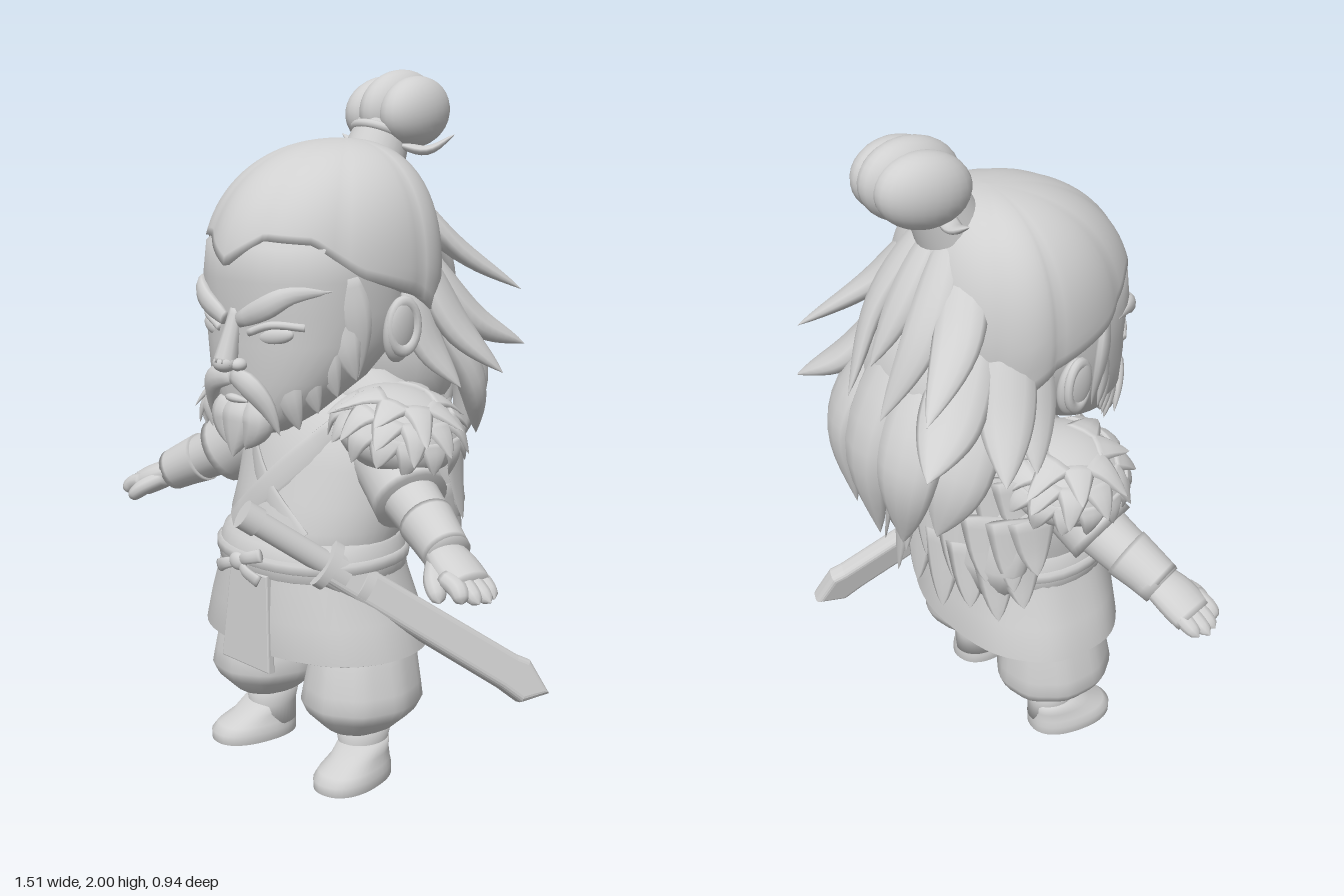
import * as THREE from 'three';

const V = (x, y, z) => new THREE.Vector3(x, y, z);
const clay = new THREE.MeshStandardMaterial({ color: 0xd0d0d0, side: THREE.DoubleSide });
clay.name = 'plain grey';

// Closed skin over a list of rings, capped at both ends
function skin(rings, cap = true) {
  const n = rings[0].length, pos = [], idx = [];
  rings.forEach(r => r.forEach(p => pos.push(p.x, p.y, p.z)));
  for (let i = 0; i < rings.length - 1; i++) for (let j = 0; j < n; j++) {
    const a = i * n + j, b = i * n + (j + 1) % n, c = a + n, d = b + n;
    idx.push(a, b, d, a, d, c);
  }
  if (cap) [0, rings.length - 1].forEach(i => {
    const c = rings[i].reduce((s, p) => s.add(p), V(0, 0, 0)).divideScalar(n), k = pos.length / 3;
    pos.push(c.x, c.y, c.z);
    for (let j = 0; j < n; j++) {
      const a = i * n + j, b = i * n + (j + 1) % n;
      i ? idx.push(a, b, k) : idx.push(b, a, k);
    }
  });
  const g = new THREE.BufferGeometry();
  g.setAttribute('position', new THREE.Float32BufferAttribute(pos, 3));
  g.setIndex(idx);
  g.computeVertexNormals();
  return g;
}

// Horizontal rings from rows [y, half width, front z, back z], bottom to top
function loft(rows, { cx = 0, p = 2, n = 36, cap = true, fold = 0 } = {}) {
  const pw = v => Math.sign(v) * Math.abs(v) ** (2 / p);
  return skin(rows.map(([y, rx, zf, zb]) => Array.from({ length: n }, (_, j) => {
    const a = j / n * Math.PI * 2, k = 1 + fold * Math.sin(a * 9);
    return V(cx + rx * k * pw(Math.sin(a)), y, (zf + zb) / 2 + (zf - zb) / 2 * k * pw(Math.cos(a)));
  })), cap);
}

// Front depth of a lofted body at x, y
function frontZ(rows, x, y, p = 2) {
  let i = 0;
  while (i < rows.length - 2 && rows[i + 1][0] < y) i++;
  const t = THREE.MathUtils.clamp((y - rows[i][0]) / (rows[i + 1][0] - rows[i][0]), 0, 1);
  const [, rx, zf, zb] = rows[i].map((v, k) => v + (rows[i + 1][k] - v) * t);
  return (zf + zb) / 2 + (zf - zb) / 2 * Math.max(0, 1 - Math.min(1, Math.abs(x) / rx) ** p) ** (1 / p);
}

// Tapered strand with an elliptical section along a curve
const taper = t => Math.sin(Math.PI * (0.2 + 0.8 * t)) ** 0.85;
const spike = t => (1 - t) ** 0.7;
const blunt = t => Math.sqrt(Math.max(0, 1 - t ** 5));
const even = () => 1;
function strand(pts, w, th, { out = null, shape = taper, n = 10, seg = 10 } = {}) {
  const curve = new THREE.CatmullRomCurve3(pts.map(p => V(...p)));
  return skin(Array.from({ length: seg + 1 }, (_, i) => {
    const t = i / seg, c = curve.getPoint(t), T = curve.getTangent(t);
    const N = out ? out.clone() : V(c.x, 0, c.z + 0.02);
    N.addScaledVector(T, -N.dot(T)).normalize();
    const B = V(0, 0, 0).crossVectors(T, N), k = Math.max(shape(t), 0.01);
    return Array.from({ length: n }, (_, j) => {
      const a = j / n * Math.PI * 2;
      return c.clone().addScaledVector(N, Math.cos(a) * th * k).addScaledVector(B, Math.sin(a) * w * k);
    });
  }));
}

const FACE = [[1.03, 0.07, 0.345, 0.2], [1.08, 0.14, 0.36, 0.12], [1.18, 0.225, 0.372, -0.02], [1.28, 0.258, 0.376, -0.14],
  [1.36, 0.266, 0.376, -0.17], [1.45, 0.268, 0.387, -0.17], [1.54, 0.26, 0.378, -0.17], [1.62, 0.19, 0.3, -0.15]];
const TORSO = [[0.6, 0.25, 0.29, -0.13], [0.7, 0.26, 0.3, -0.14], [0.75, 0.278, 0.298, -0.16], [0.82, 0.276, 0.272, -0.165], [0.92, 0.275, 0.245, -0.17],
  [1.02, 0.25, 0.21, -0.16], [1.1, 0.17, 0.15, -0.12], [1.14, 0.1, 0.1, -0.1]];

export function createModel() {
  const root = new THREE.Group();
  const add = (name, geo, parent = root) => {
    const m = new THREE.Mesh(geo, clay);
    m.name = name;
    parent.add(m);
    return m;
  };
  const ball = (name, p, s, parent) => {
    const m = add(name, new THREE.SphereGeometry(1, 24, 16), parent);
    m.position.set(...p);
    m.scale.set(...s);
    return m;
  };

  // Legs and boots
  ball('trouserSeat', [0, 0.44, 0.075], [0.24, 0.13, 0.17]);
  for (const s of [1, -1]) {
    const cx = 0.2 * s;
    add('trouserLeg', loft([[0.15, 0.075, 0.18, -0.01], [0.165, 0.1, 0.205, -0.035], [0.21, 0.148, 0.25, -0.085], [0.245, 0.166, 0.265, -0.1],
      [0.29, 0.158, 0.257, -0.096], [0.37, 0.14, 0.243, -0.09], [0.5, 0.1, 0.2, -0.07]], { cx, fold: 0.015 }));
    add('bootShaft', loft([[0.04, 0.07, 0.165, 0], [0.1, 0.066, 0.155, 0], [0.17, 0.08, 0.165, -0.015]], { cx }));
    const foot = add('bootFoot', loft([[0, 0.082, 0.168, -0.095], [0.002, 0.088, 0.174, -0.1], [0.03, 0.088, 0.175, -0.1],
      [0.05, 0.08, 0.155, -0.098], [0.075, 0.07, 0.1, -0.096], [0.11, 0.066, 0.055, -0.094]], { p: 2.3 }));
    foot.position.set(0.212 * s, 0, 0.1);
    foot.rotation.y = 0.17 * s;
  }

  // Robe with crossed lapels, flared skirt and front panel
  add('torso', loft(TORSO));
  const onChest = (x, y) => [x, y, frontZ(TORSO, x, y)];
  const lapel = s => [onChest(0.17 * s, 1.03), onChest(0.1 * s, 0.95), onChest(0, 0.85), onChest(-0.14 * s, 0.73)];
  add('underLapel', strand(lapel(-1), 0.035, 0.006, { shape: even }));
  add('overLapel', strand(lapel(1), 0.04, 0.01, { shape: even }));
  add('skirt', loft([[0.415, 0.335, 0.315, -0.165], [0.395, 0.355, 0.335, -0.18], [0.4, 0.365, 0.345, -0.188], [0.5, 0.33, 0.34, -0.172],
    [0.6, 0.29, 0.328, -0.15], [0.68, 0.27, 0.318, -0.14]], { n: 54, p: 2.25, cap: false, fold: 0.005 }));
  const panelShape = new THREE.Shape([[-0.075, 0.27], [-0.098, 0], [0.098, 0], [0.075, 0.27]].map(p => new THREE.Vector2(...p)));
  const panel = add('frontPanel', new THREE.ExtrudeGeometry(panelShape, { depth: 0.016, bevelSize: 0.004, bevelThickness: 0.004, bevelSegments: 2 }));
  panel.position.set(0, 0.352, 0.333);
  panel.rotation.x = -0.06;

  // Sash, cord and knot
  add('sash', loft([[0.61, 0.272, 0.32, -0.145], [0.62, 0.287, 0.336, -0.156], [0.66, 0.288, 0.338, -0.158],
    [0.71, 0.272, 0.322, -0.15], [0.72, 0.258, 0.3, -0.14]], { p: 2.15 }));
  add('sashCord', loft([[0.64, 0.283, 0.332, -0.152], [0.647, 0.294, 0.344, -0.164], [0.67, 0.294, 0.344, -0.164], [0.677, 0.283, 0.332, -0.152]], { p: 2.15 }));
  ball('sashKnot', [-0.03, 0.65, 0.347], [0.033, 0.026, 0.018]);
  [[-0.12, 0.615], [0.05, 0.605], [0.06, 0.685]].forEach(([x, y]) =>
    add('knotEnd', strand([[-0.03, 0.65, 0.345], [(x - 0.03) / 2, (y + 0.655) / 2, 0.355], [x, y, 0.34]], 0.02, 0.01, { out: V(0, 0, 1), shape: t => 0.7 + 0.3 * t })));

  // Arms and hands
  for (const s of [1, -1]) {
    const up = V(0.4 * s, 1, 0), P = (...a) => a.map(([x, y, z]) => [x * s, y, z]);
    add('sleeve', strand(P([0.2, 0.98, 0.03], [0.3, 0.925, 0.06], [0.395, 0.862, 0.09]), 0.105, 0.105, { out: up, n: 24, shape: t => 0.95 + 0.05 * t }));
    add('forearm', strand(P([0.36, 0.885, 0.08], [0.46, 0.835, 0.11], [0.585, 0.77, 0.15]), 0.08, 0.078, { out: up, n: 24, shape: t => 1.04 - 0.24 * t }));
    add('bracer', strand(P([0.47, 0.83, 0.113], [0.52, 0.805, 0.13], [0.58, 0.773, 0.15]), 0.076, 0.075, { out: up, n: 24, shape: t => 1.02 - 0.17 * t }));
    add('palm', strand(P([0.56, 0.78, 0.145], [0.62, 0.752, 0.165], [0.69, 0.715, 0.18]), 0.07, 0.043, { out: up, n: 18, shape: t => 0.8 + 0.2 * Math.sin(t * 2.4) }));
    for (let i = 0; i < 4; i++) {
      const z = 0.135 + i * 0.03, l = [0.745, 0.757, 0.745, 0.715][i];
      add('finger', strand(P([0.64, 0.74, z], [0.69, 0.722, z + 0.005], [l, 0.692, z + 0.015]), 0.027, 0.025, { out: up, shape: blunt }));
    }
    add('thumb', strand(P([0.58, 0.755, 0.19], [0.62, 0.725, 0.24], [0.66, 0.685, 0.265]), 0.03, 0.026, { out: up, shape: blunt }));
  }

  // Fur mantle: back slab with a fringe, sloping shoulder mounds with rows of tufts
  const fur = new THREE.Group();
  fur.name = 'furMantle';
  root.add(fur);
  add('mantleBack', loft([[0.7, 0.31, -0.08, -0.27], [0.8, 0.35, -0.04, -0.285], [0.93, 0.345, 0.03, -0.275], [1.05, 0.3, 0.1, -0.235], [1.13, 0.22, 0.1, -0.19], [1.17, 0.15, 0.06, -0.13]]), fur);
  [[1.03, 0.305, 0.15], [0.92, 0.345, 0.175], [0.81, 0.335, 0.175]].forEach(([y, rx, rz], row) => {
    for (let i = 0; i < 10; i++) {
      const a = Math.PI * (0.54 + 0.92 * (i + (row % 2) / 2) / 9.5), x = Math.sin(a), z = Math.cos(a);
      const drop = 0.15 + 0.06 * Math.abs(z) - 0.035 * (i % 2);
      add('backTuft', strand([[x * rx, y + 0.05, -0.1 + z * rz], [x * (rx + 0.015), y - drop * 0.45, -0.1 + z * (rz + 0.015)],
        [x * (rx + 0.035), y - drop, -0.1 + z * (rz + 0.025)]], 0.072, 0.014, { shape: spike, n: 8, seg: 7 }), fur);
    }
  });
  for (const s of [1, -1]) {
    const mound = new THREE.Group(), r = [0.175, 0.11, 0.18];
    mound.name = 'shoulderMound';
    mound.position.set(0.285 * s, 1.035, 0.03);
    mound.rotation.z = -0.32 * s;
    fur.add(mound);
    ball('shoulderFur', [0, 0, 0], r, mound);
    [0.4, 0.8, 1.2].forEach((th, row) => {
      const count = 6 + row * 3;
      for (let i = 0; i < count; i++) {
        const f = -Math.PI * 0.78 + Math.PI * 1.56 * (i + 0.5) / count;
        const dir = t => [s * Math.sin(t) * Math.cos(f), Math.cos(t), Math.sin(t) * Math.sin(f)];
        const at = (t, k) => dir(t).map((v, q) => v * r[q] * k);
        add('shoulderTuft', strand([at(th, 0.96), at(th + 0.3, 1.04), at(th + 0.64 + 0.18 * (i % 2), 1.17)], 0.055, 0.014,
          { out: V(...dir(th)), shape: spike, n: 8, seg: 7 }), mound);
      }
    });
  }

  // Head, ears and face
  const head = new THREE.Group();
  head.name = 'head';
  root.add(head);
  add('neck', new THREE.CylinderGeometry(0.11, 0.13, 0.2, 24), head).position.set(0, 1.12, 0.02);
  add('face', loft(FACE, { p: 2.3 }), head);
  const on = (x, y, d = 0) => [x, y, frontZ(FACE, x, y, 2.3) + d];
  add('nose', strand([on(0, 1.37, -0.015), on(0, 1.29, 0.012), [0, 1.225, 0.408]], 0.034, 0.034, { out: V(0, 0, 1), shape: t => 0.55 + 0.45 * t }), head);
  ball('noseTip', [0, 1.23, 0.408], [0.034, 0.026, 0.032], head);
  add('lowerLip', strand([on(-0.045, 1.125, 0.005), on(0, 1.13, 0.015), on(0.045, 1.125, 0.005)], 0.012, 0.012, { out: V(0, 0, 1), shape: t => Math.sin(Math.PI * (0.1 + 0.8 * t)) }), head);
  for (const s of [1, -1]) {
    ball('nostril', [0.032 * s, 1.226, 0.385], [0.022, 0.018, 0.024], head);
    ball('eye', on(0.13 * s, 1.31, -0.012), [0.055, 0.024, 0.018], head).rotation.set(0, 0.35 * s, 0.15 * s);
    add('upperLid', strand([on(0.06 * s, 1.315, 0), on(0.13 * s, 1.34, 0.002), on(0.2 * s, 1.335, -0.003)], 0.011, 0.011, { shape: even }), head);
    add('eyebrow', strand([on(0.03 * s, 1.345, 0.006), on(0.12 * s, 1.385, 0.01), on(0.18 * s, 1.42, 0.008), on(0.245 * s, 1.43, 0)], 0.032, 0.02), head);
    ball('ear', [0.3 * s, 1.315, 0.045], [0.03, 0.092, 0.055], head).rotation.z = -0.12 * s;
    const rim = add('earRim', new THREE.TorusGeometry(0.045, 0.013, 10, 24), head);
    rim.position.set(0.316 * s, 1.325, 0.045);
    rim.rotation.y = (Math.PI / 2 - 0.25) * s;
    rim.scale.set(0.95, 1.45, 1);
    // Moustache, beard and sideburns
    add('moustache', strand([on(0.005 * s, 1.19, 0.01), on(0.07 * s, 1.175, 0.02), on(0.115 * s, 1.12, 0.025), [0.14 * s, 1.04, 0.335]], 0.034, 0.022), head);
    add('beardSide', strand([on(0.06 * s, 1.12, -0.015), [0.065 * s, 1.06, 0.35], [0.035 * s, 0.99, 0.37]], 0.05, 0.04), head);
    for (let i = 0; i < 4; i++) {
      const x = 0.135 + i * 0.034, y = 1.14 + i * 0.045, z = 0.3 - i * 0.038;
      add('beardTuft', strand([[(x - 0.015) * s, y + 0.08, z + 0.01], [(x + 0.01) * s, y - 0.01, z + 0.005], [(x + 0.022) * s, y - 0.09, z - 0.02]], 0.065, 0.025, { shape: spike }), head);
    }
    add('sideburn', strand([[0.25 * s, 1.46, 0.19], [0.262 * s, 1.34, 0.17], [0.25 * s, 1.19, 0.15]], 0.045, 0.018), head);
  }
  add('goatee', strand([[0, 1.12, 0.345], [0, 1.06, 0.355], [0, 0.965, 0.385]], 0.065, 0.045), head);

  // Combed hair cap with a hairline that dips at the brow and falls behind the ears
  const line = [[0, 1.49], [0.35, 1.56], [0.75, 1.55], [1.1, 1.46], [1.5, 1.41], [1.9, 1.34], [3.15, 1.25]];
  const hairline = a => {
    const i = Math.max(1, line.findIndex(q => q[0] >= a)), [a0, y0] = line[i - 1], [a1, y1] = line[i];
    return y0 + (y1 - y0) * (a - a0) / (a1 - a0);
  };
  const capRing = (t, k) => Array.from({ length: 112 }, (_, j) => {
    const a = j / 112 * Math.PI * 2, low = hairline(Math.min(a, Math.PI * 2 - a)), y = low + (1.812 - low) * Math.sin(t * Math.PI / 2);
    const h = (y - 1.45) / 0.362, f = e => h > 0 ? Math.max(0, 1 - h ** e) ** (1 / e) : 1 + h * 0.15;
    const g = k * (0.98 + 0.027 * Math.abs(Math.sin(a * 5 + Math.PI / 2)) ** 0.5), z = Math.cos(a);
    return V(0.322 * g * f(2.4) * Math.sin(a) - 0.005, y, -0.03 + (z > 0 ? 0.432 * f(2.1) : 0.24 * f(2.4)) * g * z);
  });
  add('hairCap', skin([capRing(0, 0.94), ...Array.from({ length: 21 }, (_, i) => capRing(i / 20, 1))]), head);

  // Loose hair at the sides and back
  ball('backHair', [0, 1.26, -0.2], [0.27, 0.3, 0.19], head);
  add('centreLock', strand([[0, 1.5, -0.25], [0, 1.15, -0.42], [0, 0.84, -0.4]], 0.1, 0.055), head);
  add('crownLock', strand([[0, 1.72, -0.18], [0, 1.55, -0.29], [0.01, 1.38, -0.4]], 0.06, 0.04), head);
  const locks = [
    [[0.1, 1.68, -0.16], [0.2, 1.52, -0.26], [0.32, 1.38, -0.44], 0.07],
    [[0.22, 1.5, -0.11], [0.3, 1.3, -0.18], [0.41, 1.17, -0.26], 0.08],
    [[0.16, 1.5, -0.18], [0.24, 1.3, -0.32], [0.33, 1.22, -0.45], 0.09],
    [[0.1, 1.45, -0.24], [0.16, 1.15, -0.4], [0.12, 0.88, -0.4], 0.1],
    [[0.18, 1.4, -0.16], [0.25, 1.14, -0.3], [0.23, 0.95, -0.36], 0.095],
    [[0.06, 1.72, -0.18], [0.11, 1.5, -0.31], [0.08, 1.27, -0.43], 0.06],
    [[0.25, 1.42, -0.05], [0.29, 1.26, -0.08], [0.37, 1.14, -0.13], 0.065]];
  for (const s of [1, -1]) for (const l of locks)
    add('hairLock', strand(l.slice(0, 3).map(([x, y, z]) => [x * s, y, z]), l[3], l[3] * 0.5, { seg: 14, n: 12 }), head);

  // Topknot with its tie
  const tie = add('topknotTie', new THREE.CylinderGeometry(0.08, 0.095, 0.11, 28), head);
  tie.position.set(-0.01, 1.785, -0.18);
  tie.rotation.x = -0.45;
  const band = add('tieBand', new THREE.TorusGeometry(0.08, 0.013, 10, 28), head);
  band.position.set(-0.01, 1.815, -0.195);
  band.rotation.x = Math.PI / 2 - 0.45;
  [-0.062, 0, 0.062].forEach(x => {
    const m = ball('topknotLobe', [x - 0.01, x ? 1.88 : 1.888, -0.268], x ? [0.078, 0.1, 0.133] : [0.075, 0.11, 0.146], head);
    m.rotation.set(0.15, x * 1.5, 0);
  });
  add('tieTail', strand([[0.05, 1.79, -0.2], [0.12, 1.775, -0.25], [0.18, 1.82, -0.3]], 0.03, 0.014, { out: V(0, 1, 0) }), head);
  add('tieTail', strand([[-0.06, 1.8, -0.2], [-0.13, 1.785, -0.22], [-0.2, 1.815, -0.22]], 0.028, 0.014, { out: V(0, 1, 0) }), head);

  // Sheathed sword slung at the left hip
  const sword = new THREE.Group();
  sword.name = 'sword';
  const d = V(0.42, -0.61, -0.77).normalize(), w = V(0, 0.77, -0.61).normalize();
  sword.applyMatrix4(new THREE.Matrix4().makeBasis(w, d, V(0, 0, 0).crossVectors(w, d)).setPosition(0.105, 0.83, 0.43));
  root.add(sword);
  const rod = (name, r, len, y, sx, sz) => {
    const m = add(name, new THREE.CylinderGeometry(r, r, len, 24), sword);
    m.position.y = y;
    m.scale.set(sx, 1, sz);
  };
  rod('handle', 0.034, 0.26, 0.14, 1, 0.88);
  rod('pommel', 0.041, 0.05, 0.015, 1, 0.9);
  rod('guard', 0.065, 0.028, 0.275, 1.1, 0.75);
  rod('scabbardMouth', 0.052, 0.05, 0.315, 1.1, 0.72);
  rod('scabbardRing', 0.055, 0.03, 0.4, 1.08, 0.72);
  const outline = new THREE.Shape([[-0.032, 0.29], [0.032, 0.29], [0.038, 0.93], [0.044, 0.97], [0.003, 1.055], [-0.042, 1.0], [-0.036, 0.93]].map(p => new THREE.Vector2(...p)));
  const sheath = new THREE.ExtrudeGeometry(outline, { depth: 0.022, bevelSize: 0.018, bevelThickness: 0.02, bevelSegments: 4 });
  add('scabbard', sheath.translate(0, 0, -0.011), sword);

  return root;
}
